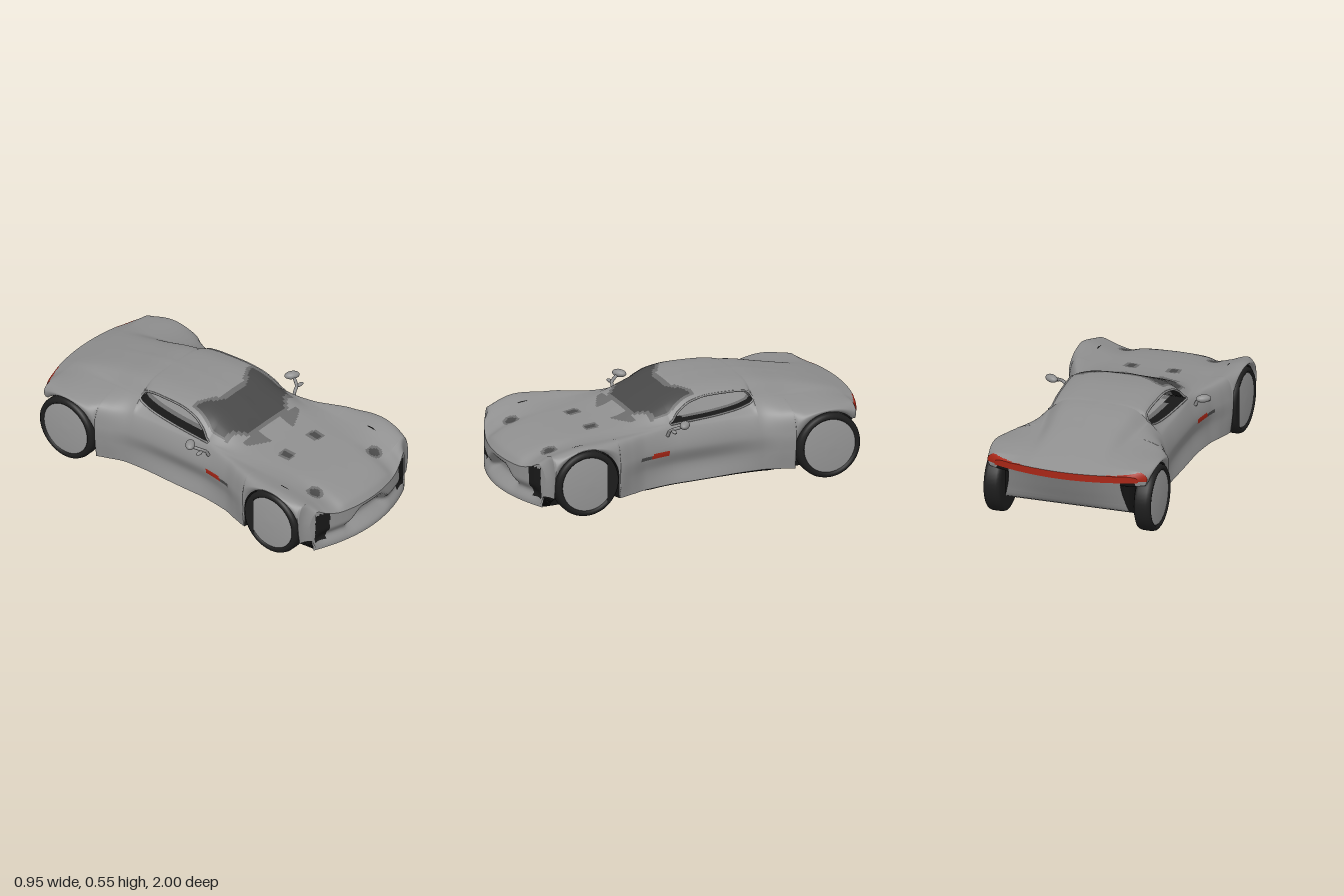
import * as THREE from 'three';

const COLORS = { body: 0x8f8f8f, wheelDisc: 0x989898, shade: 0x6c6c6c, windscreen: 0x484848, trimDark: 0x181818,
  underside: 0x141414, tailLight: 0xa82616, tyre: 0x1e1e1e };
const material = (name, flat = false) => new THREE.MeshStandardMaterial({
  color: COLORS[name], side: THREE.DoubleSide, flatShading: flat });
const step = THREE.MathUtils.smoothstep;

// Smooth monotone curve through [z, value] pairs
function track(p) {
  const s = p.slice(1).map((q, i) => (q[1] - p[i][1]) / (q[0] - p[i][0]));
  const m = p.map((_, i) => {
    const a = s[i - 1] ?? s[0], b = s[i] ?? s[i - 1];
    return a * b > 0 ? 2 * a * b / (a + b) : 0;
  });
  return z => {
    let i = 0;
    while (i < p.length - 2 && z > p[i + 1][0]) i++;
    const h = p[i + 1][0] - p[i][0], t = THREE.MathUtils.clamp((z - p[i][0]) / h, 0, 1), u = 1 - t;
    return p[i][1] * (1 + 2 * t) * u * u + m[i] * h * t * u * u
      + p[i + 1][1] * t * t * (3 - 2 * t) - m[i + 1] * h * t * t * u;
  };
}

// Body measurements along the length
const width = track([[-1, .4], [-.9, .45], [-.75, .467], [-.6, .463], [-.5, .43], [-.38, .387], [-.2, .375],
  [.1, .375], [.3, .4], [.4, .435], [.5, .464], [.7, .469], [.87, .462], [.93, .43], [1, .4]]);
const shoulderY = track([[-1, .365], [-.9, .385], [-.75, .4], [-.6, .39], [-.4, .372], [.1, .37], [.35, .375],
  [.5, .382], [.68, .388], [.86, .352], [1, .3]]);
const floorY = track([[-1, .33], [-.95, .23], [-.9, .15], [-.75, .09], [-.6, .06], [.9, .055], [1, .06]]);
const topY = track([[-1, .37], [-.8, .432], [-.6, .485], [-.4, .527], [-.15, .545], [0, .535], [.1, .507],
  [.2, .462], [.35, .395], [.5, .373], [.65, .36], [.8, .34], [.9, .312], [.97, .28], [1, .245]]);
const beltX = track([[-1, .3], [-.8, .265], [-.6, .27], [-.45, .282], [-.37, .286], [-.25, .3], [-.1, .311],
  [.13, .325], [.3, .328], [.65, .32], [1, .31]]);
const beltY = track([[-1, .366], [-.8, .41], [-.6, .427], [-.45, .443], [-.37, .447], [-.355, .43], [-.25, .408],
  [-.1, .397], [.13, .393], [.3, .382], [.5, .37], [.65, .363], [.85, .325], [1, .275]]);
const windowGap = track([[-1, .003], [-.45, .007], [-.37, .008], [-.36, .045], [-.33, .07], [-.25, .094], [-.1, .108],
  [0, .094], [.08, .052], [.13, .006], [.3, .005], [.5, -.002], [.65, -.006], [1, -.022]]);
const inset = track([[-1, .05], [-.45, .015], [-.3, .005], [.13, .005], [.3, .03], [.65, .07], [1, .07]]);

const FRONT = .677, REAR = -.74, ARCH = .19, HUB_Y = .183, WIN = [-.37, .13], SUB = 10, M = 7 * SUB;

// Lower edge of the body side, including the wheel arches
function edgeY(z) {
  for (const c of [FRONT, REAR]) {
    const d = ARCH * ARCH - (z - c) ** 2;
    if (d >= 0) return c === REAR && z < c ? Math.max(HUB_Y + Math.sqrt(d), .31) : HUB_Y + Math.sqrt(d);
  }
  if (z < REAR) return Math.max(.31, floorY(z) + .004);
  return z > FRONT ? .125 : floorY(z) + .015;
}

// Control points of half a cross-section, sill to roof centre
function section(z) {
  const w = width(z), s = shoulderY(z), a = edgeY(z), t = topY(z), bx = beltX(z), by = beltY(z), g = windowGap(z);
  const rx = bx - .33 * Math.max(g, 0) - inset(z), ry = by + g;
  const waist = Math.abs(z) < .47 ? Math.cos(z / .47 * Math.PI / 2) : 0;
  const V = (x, y) => new THREE.Vector3(x, y, z);
  return [V(w - .012 * (1 - waist), a), V(w - .025 * waist, a + (s - a) * .33), V(w, a + (s - a) * .65), V(w - .035, s),
    V(bx, by), V(rx, ry), V(rx * .72, ry + (t - ry) * .75), V(0, t)];
}

// Round the nose and tail in plan
const planK = x => Math.max(0, 1 - (x / .46) ** 2);
function bend(v) {
  if (v.z > .87) v.z = .87 + (v.z - .87) * planK(v.x);
  if (v.z < -.9) v.z = -.9 + (v.z + .9) * planK(v.x);
  return v;
}
const flipX = v => new THREE.Vector3(-v.x, v.y, v.z);
const mirrorRow = half => [...half, ...half.slice(0, -1).reverse().map(flipX)];

// Grid surface split into named parts that share smooth normals
function surface(group, P, partOf, { flip = false, flat = false } = {}) {
  const n = P[0].length, parts = {}, all = [];
  for (let i = 0; i < P.length - 1; i++) for (let j = 0; j < n - 1; j++) {
    const a = i * n + j, b = a + 1, c = a + n, d = c + 1;
    const name = partOf(P[i][j].clone().add(P[i + 1][j + 1]).multiplyScalar(.5), j);
    const f = flip ? [a, b, c, c, b, d] : [a, c, b, c, d, b];
    all.push(...f);
    if (name) (parts[name] ??= []).push(...f);
  }
  const base = new THREE.BufferGeometry().setFromPoints(P.flat());
  base.setIndex(all);
  base.computeVertexNormals();
  for (const name in parts) {
    const mesh = new THREE.Mesh(base.clone().setIndex(parts[name]), material(name, flat));
    mesh.name = name;
    group.add(mesh);
  }
}

function add(group, name, geo, color, pos = [0, 0, 0]) {
  const mesh = new THREE.Mesh(geo, material(color));
  mesh.name = name;
  mesh.position.set(...pos);
  group.add(mesh);
  return mesh;
}

// Colour zones of the upper shell
function shellPart(p, j) {
  const h = Math.min(j, 2 * M - 1 - j), x = Math.abs(p.x), z = p.z;
  if (h >= 4 * SUB && h < 5 * SUB && z > WIN[0] && z < WIN[1]) return null;
  if (h >= 5 * SUB + 4 && x < .28) {
    const from = .06 - .08 * step(x, .06, .24), to = .27 - .07 * step(x, .13, .25);
    if (z > from && z < to) return h < 5 * SUB + 6 ? 'shade' : 'windscreen';
    if (z > from - .025 && z < to + .025) return 'shade';
  }
  if (x > .09 && x < .22 && z > .29 && z < .3 + .45 * (.27 - x)) return 'shade';
  const spot = Math.min(Math.hypot(x - .12, z - .51), Math.hypot(x - .25, z - .81));
  if (spot < .045) return spot < .028 ? 'windscreen' : 'shade';
  if (z > .16 && z < .34 && p.y > .237 && p.y < .262 && x > .3) return z > .27 ? 'windscreen' : 'tailLight';
  if (z < -.9 && x > .2 && p.y > .335 && z < -.9 - .1 * planK(x) + .09 * (x - .2)) return 'tailLight';
  return 'body';
}

function buildShell(car) {
  const zs = [...WIN];
  for (let i = 0; i <= 200; i++) zs.push(1 - i / 100);
  for (const c of [FRONT, REAR]) for (const s of [-1, 1]) for (const r of [.93, .97, .9999, 1.004]) zs.push(c + s * ARCH * r);
  zs.sort((a, b) => b - a);

  // Upper shell with side window openings
  const outline = z => mirrorRow(new THREE.CatmullRomCurve3(section(z)).getPoints(M));
  surface(car, zs.map(z => outline(z).map(bend)), shellPart);

  // Floor with rear diffuser, then the wheel wells on both sides
  const innerX = z => Math.min(.365, width(z) - .03) - .05 * step(-z, .85, 1);
  const floor = zs.map(z => mirrorRow([1, .75, .5, .25, 0].map(u =>
    new THREE.Vector3(u * innerX(z), floorY(z), z))).map(bend));
  surface(car, floor, p => p.z < -.72 ? 'body' : 'underside', { flip: true });
  const well = zs.map(z => {
    const inWell = Math.min(Math.abs(z - FRONT), Math.abs(z - REAR)) <= ARCH || z < REAR, x = innerX(z);
    return [section(z)[0], new THREE.Vector3(x, inWell ? edgeY(z) : floorY(z), z),
      new THREE.Vector3(x, floorY(z), z)].map(bend);
  });
  surface(car, well, () => 'underside', { flip: true, flat: true });
  surface(car, well.map(row => row.map(flipX)), () => 'underside', { flat: true });

  // Nose face with arched grille, splitter lip and side intakes; tail face carries the light strip
  for (const end of [1, -1]) {
    const rows = [], low = floorY(end);
    for (let k = 0; k <= 20; k++) rows.push(outline(end).map(v => {
      const tuck = end > 0 ? 1 - .05 * (1 - k / 20) : 1;
      const p = bend(new THREE.Vector3(v.x * tuck, low + (v.y - low) * k / 20, end)), x = Math.abs(p.x);
      if (end > 0) {
        const arch = .235 - .055 * step(x, .07, .17);
        p.z -= step(p.y, .07, .145) * (1 - step(p.y, arch - .07, arch)) * (.065 - .03 * step(x, .12, .2)) * (1 - step(x, .3, .4));
      }
      return p;
    }));
    surface(car, rows, p => {
      const x = Math.abs(p.x);
      if (end < 0) return 'tailLight';
      return x > .29 + .15 * Math.max(0, .16 - p.y) && x < .372 && p.y > .105 && p.y < .28 ? 'trimDark' : 'body';
    }, { flip: end < 0 });
  }
}

// Window reveal running through the cabin, with a rounded rim on each side
function buildWindows(car) {
  const lower = [], upper = [];
  for (let i = 0; i <= 30; i++) {
    const s = section(WIN[0] + (WIN[1] - WIN[0]) * i / 30);
    lower.push(s[4]);
    upper.unshift(s[5]);
  }
  const rim = [...lower, ...upper], rows = [];
  for (let k = 0; k <= 20; k++) {
    const u = 1 - k / 10;
    rows.push([...rim, rim[0]].map(v => new THREE.Vector3(v.x * u, v.y, v.z)));
  }
  surface(car, rows, p => Math.abs(p.x) > .24 ? 'trimDark' : Math.abs(p.x) > .21 ? 'shade' : 'body');
  for (const points of [rim, rim.map(flipX)]) add(car, 'windowFrame',
    new THREE.TubeGeometry(new THREE.CatmullRomCurve3(points, true), 120, .006, 6, true), 'body');
}

function buildWheel(car, side, z) {
  const wheel = new THREE.Group();
  wheel.name = z > 0 ? 'frontWheel' : 'rearWheel';
  const lathe = pts => new THREE.LatheGeometry(pts.map(p => new THREE.Vector2(...p)), 48).rotateZ(-Math.PI / 2);
  add(wheel, 'tyre', lathe([[.12, -.046], [.162, -.048], [.178, -.04], [.183, -.025], [.183, .025], [.178, .04],
    [.167, .048], [.155, .047], [.149, .038]]), 'tyre');
  add(wheel, 'wheelDisc', lathe([[.152, .036], [.145, .043], [.06, .045], [.03, .047], [.0001, .047]]), 'wheelDisc');
  add(wheel, 'innerDisc', new THREE.CylinderGeometry(.13, .13, .02, 32).rotateZ(Math.PI / 2), 'tyre', [-.034, 0, 0]);
  // Dark segment on the trailing edge of the front wheels
  if (z > 0) {
    const segment = new THREE.Shape().absarc(0, 0, .165, -.85, .85);
    add(wheel, 'wheelShield', new THREE.ShapeGeometry(segment, 24).rotateY(Math.PI / 2), 'tyre', [.049, 0, 0])
      .scale.z = side;
  }
  wheel.position.set(side * .424, HUB_Y, z);
  if (side < 0) wheel.rotation.y = Math.PI;
  car.add(wheel);
}

function buildMirror(car, side) {
  const mirror = new THREE.Group();
  mirror.name = 'wingMirror';
  const path = [[.36, .345, .165], [.375, .375, .16], [.395, .39, .155], [.425, .41, .115]];
  const curve = new THREE.CatmullRomCurve3(path.map(p => new THREE.Vector3(p[0] * side, p[1], p[2])));
  add(mirror, 'mirrorStalk', new THREE.TubeGeometry(curve, 16, .009, 8), 'body');
  const head = add(mirror, 'mirrorHead', new THREE.SphereGeometry(1, 20, 14), 'body', [side * .43, .42, .095]);
  head.scale.set(.042, .021, .026);
  head.rotation.y = side * -.6;
  const foot = add(mirror, 'mirrorFoot', new THREE.SphereGeometry(1, 14, 10), 'body', [side * .425, .388, .155]);
  foot.scale.set(.025, .009, .012);
  car.add(mirror);
}

export function createModel() {
  const car = new THREE.Group();
  car.name = 'sportsCar';
  buildShell(car);
  buildWindows(car);
  for (const side of [1, -1]) {
    buildMirror(car, side);
    for (const z of [FRONT, REAR]) buildWheel(car, side, z);
  }
  // Rear axle visible behind the diffuser
  add(car, 'rearAxle', new THREE.CylinderGeometry(.03, .03, .78, 16).rotateZ(Math.PI / 2), 'tyre', [0, HUB_Y, REAR]);
  return car;
}
